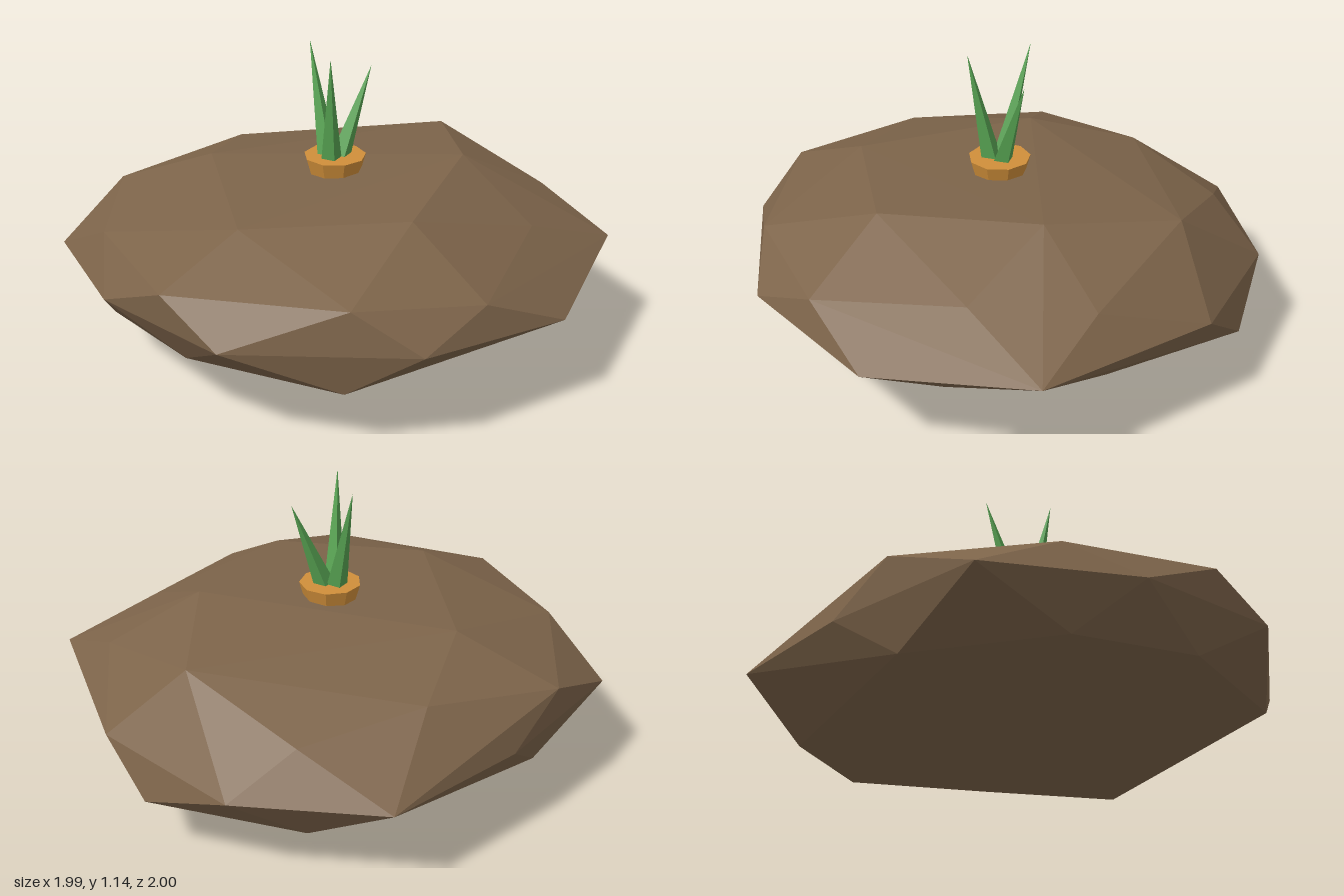
import * as THREE from 'three';
import { ConvexGeometry } from 'three/addons/geometries/ConvexGeometry.js';

const material = (name, color) => {
  const m = new THREE.MeshStandardMaterial({ color, flatShading: true });
  m.name = name;
  return m;
};

export function createModel() {
  const model = new THREE.Group();
  model.name = 'sproutingMound';
  const soil = material('soil brown', 0x7d644a);
  const root = material('root orange', 0xd08f3a);
  const leaf = material('leaf green', 0x56a151);

  const add = (name, geometry, mat) => {
    const mesh = new THREE.Mesh(geometry, mat);
    mesh.name = name;
    model.add(mesh);
    return mesh;
  };

  // Faceted mound: corner points of a convex clod, grouped by height
  const corners = [
    // crown
    [0.49, 0.70, 0.1], [0.6, 0.645, -0.4], [0.11, 0.675, 0.57],
    [-0.47, 0.65, 0.4], [-0.4, 0.65, -0.32],
    // shoulder
    [0.84, 0.53, 0.08], [0.62, 0.54, 0.46], [0.26, 0.49, 0.89], [-0.22, 0.54, 0.89],
    [-0.78, 0.52, 0.55], [-0.88, 0.52, 0], [-0.72, 0.5, -0.55],
    [-0.19, 0.57, -0.69], [0.28, 0.51, -0.77],
    // rim
    [0, 0.39, 1], [0.58, 0.355, 0.84], [0.99, 0.41, 0.37], [0.89, 0.39, -0.35],
    [0.53, 0.355, -0.82], [0, 0.355, -1], [-0.51, 0.35, -0.71],
    [-1, 0.36, -0.3], [-0.93, 0.385, 0.27], [-0.64, 0.39, 0.77],
    // underside
    [0.78, 0.22, 0], [0.78, 0.23, -0.56], [0.25, 0.18, -0.79], [-0.66, 0.18, -0.5],
    [-0.86, 0.2, 0.03], [-0.69, 0.235, 0.5], [-0.24, 0.235, 0.89],
    [0.44, 0.1, 0.47], [0.4, 0.12, -0.45], [0.07, 0, -0.04],
  ];
  add('mound', new ConvexGeometry(corners.map(p => new THREE.Vector3(...p))), soil);

  // Top of the root poking out of the soil
  const crown = add('rootTop', new THREE.CylinderGeometry(0.118, 0.09, 0.1, 9), root);
  crown.position.set(0, 0.68, 0.025);

  // Three pointed blades fanning out from the root
  const up = new THREE.Vector3(0, 1, 0);
  const blades = [
    [[-0.02, 0.7, 0.045], [-0.05, 1.14, 0.13]],
    [[-0.02, 0.7, 0.01], [-0.05, 1.14, -0.13]],
    [[0.015, 0.7, 0.025], [0.15, 1.06, 0]],
  ];
  blades.forEach(([from, to], i) => {
    const base = new THREE.Vector3(...from);
    const axis = new THREE.Vector3(...to).sub(base);
    const length = axis.length();
    const geometry = new THREE.ConeGeometry(0.042, length, 4);
    geometry.translate(0, length / 2, 0);
    const blade = add('leafBlade' + (i + 1), geometry, leaf);
    blade.position.copy(base);
    blade.quaternion.setFromUnitVectors(up, axis.normalize());
  });

  return model;
}
